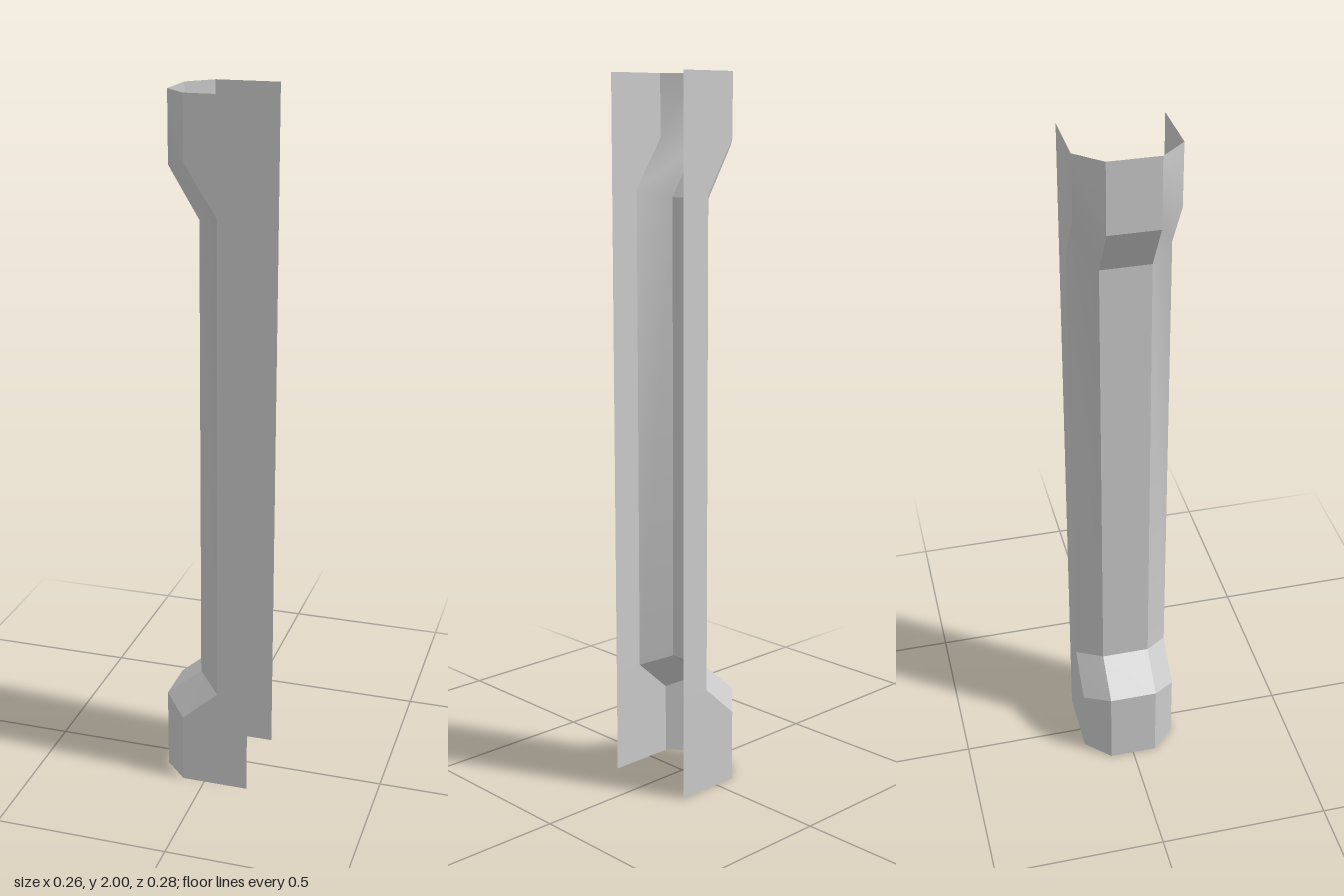
import * as THREE from 'three';
import { toCreasedNormals } from 'three/addons/utils/BufferGeometryUtils.js';

// Stations up the channel: [shoulder x, shoulder y, web x, web y]
const STATIONS = [
  [-0.065, 0, -0.134, 0],
  [-0.065, 0.205, -0.134, 0.24],
  [0.04, 0.3, -0.03, 0.33],
  [0.04, 1.685, -0.03, 1.665],
  [-0.05, 1.825, -0.115, 1.805],
  [-0.05, 2, -0.115, 2],
];
const EDGE_X = 0.13, HALF_WIDTH = 0.14, WEB_HALF = 0.07;

// Open cross-section, from the +z flange edge round the web to the -z edge
function section([sx, sy, wx, wy]) {
  const half = [
    [EDGE_X, sy, HALF_WIDTH],
    [sx, sy, HALF_WIDTH],
    [wx, wy, WEB_HALF],
  ];
  return [...half, ...half.map(([x, y, z]) => [x, y, -z]).reverse()];
}

// Skin the panel between two neighbouring columns of the sections
function panel(name, column, material) {
  const positions = [];
  const rings = STATIONS.map(section);
  for (let i = 0; i < rings.length - 1; i++) {
    for (let j = column[0]; j < column[1]; j++) {
      const a = rings[i][j], b = rings[i][j + 1];
      const c = rings[i + 1][j + 1], d = rings[i + 1][j];
      positions.push(...a, ...d, ...c, ...a, ...c, ...b);
    }
  }
  const geometry = new THREE.BufferGeometry();
  geometry.setAttribute('position', new THREE.Float32BufferAttribute(positions, 3));
  geometry.computeVertexNormals();
  const mesh = new THREE.Mesh(toCreasedNormals(geometry, 0.5), material);
  mesh.name = name;
  return mesh;
}

export function createModel() {
  const group = new THREE.Group();
  group.name = 'channelPost';
  const material = new THREE.MeshStandardMaterial({ color: 0xcccccc, side: THREE.DoubleSide });
  group.add(
    panel('frontFlange', [0, 1], material),
    panel('steppedWeb', [1, 4], material), // web with its two chamfers
    panel('backFlange', [4, 5], material),
  );
  return group;
}
